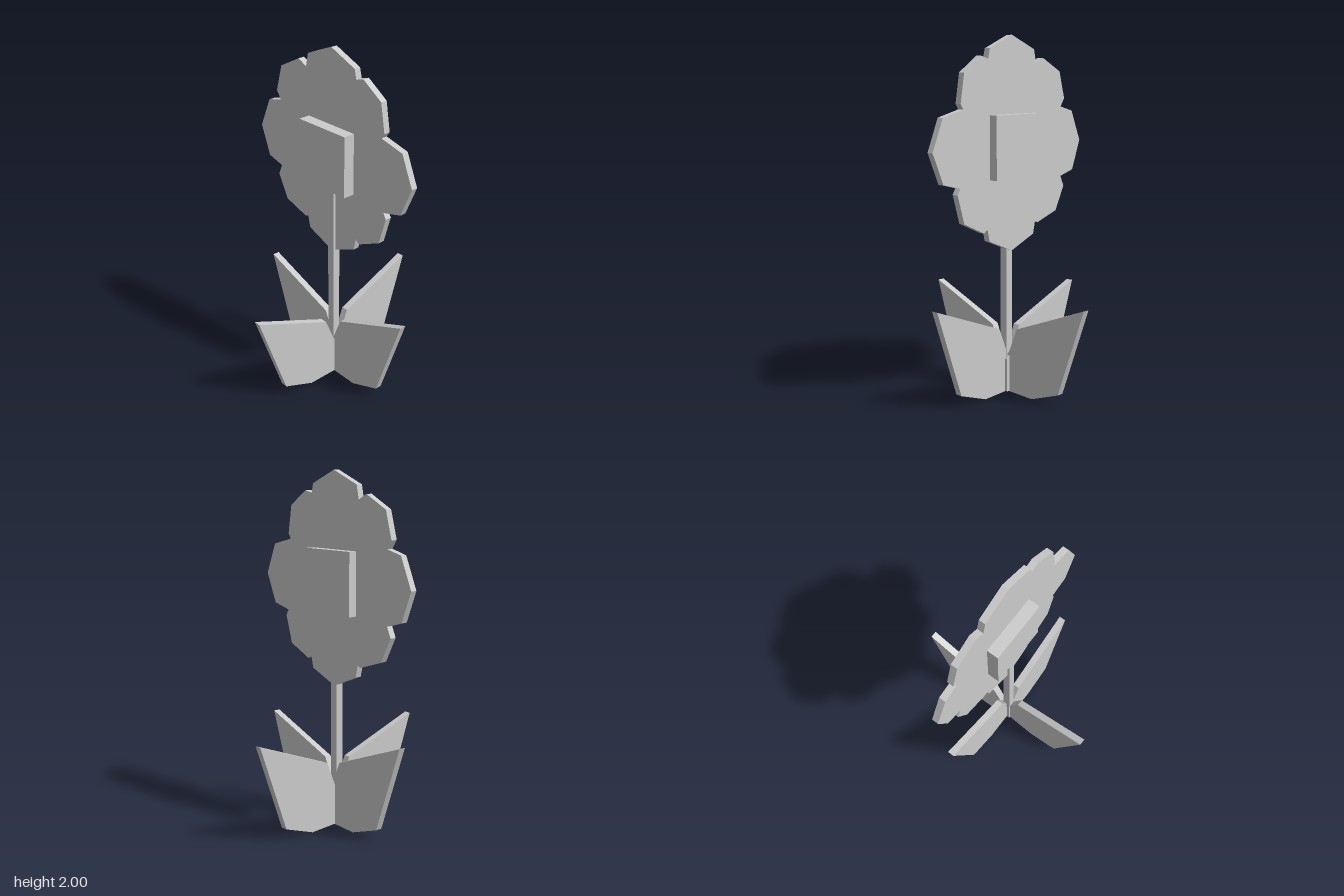
import * as THREE from 'three';

const material = new THREE.MeshStandardMaterial({ color: 0xcccccc, flatShading: true });

function add(group, name, geometry) {
  const mesh = new THREE.Mesh(geometry, material);
  mesh.name = name;
  group.add(mesh);
  return mesh;
}

// Flat plate cut from an outline, centred on its thickness
function plate(points, depth) {
  const shape = new THREE.Shape(points.map(([x, y]) => new THREE.Vector2(x, y)));
  const geometry = new THREE.ExtrudeGeometry(shape, { depth, bevelEnabled: false });
  return geometry.translate(0, 0, -depth / 2);
}

function box(x0, x1, y0, y1, z0, z1) {
  return new THREE.BoxGeometry(x1 - x0, y1 - y0, z1 - z0)
    .translate((x0 + x1) / 2, (y0 + y1) / 2, (z0 + z1) / 2);
}

export function createModel() {
  const model = new THREE.Group();
  model.name = 'flower';

  // Blossom: one plate with eight scalloped petals, facing sideways
  const petals = [
    [0, 2], [0.18, 1.925], [0.197, 1.847], [0.255, 1.878], [0.4, 1.802], [0.443, 1.648],
    [0.412, 1.602], [0.512, 1.575], [0.587, 1.4], [0.522, 1.23], [0.416, 1.2], [0.443, 1.14],
    [0.374, 1.003], [0.215, 0.95], [0.194, 0.96], [0.178, 0.89], [0, 0.817], [-0.178, 0.89],
    [-0.194, 0.96], [-0.22, 0.94], [-0.369, 1.008], [-0.416, 1.167], [-0.397, 1.2],
    [-0.517, 1.23], [-0.59, 1.4], [-0.517, 1.575], [-0.37, 1.612], [-0.39, 1.64],
    [-0.363, 1.802], [-0.236, 1.888], [-0.185, 1.873], [-0.172, 1.927],
  ];
  const blossom = add(model, 'blossom', plate(petals, 0.038));
  blossom.rotation.y = Math.PI / 2;
  blossom.position.x = 0.007;

  // Square centre and stem
  add(model, 'blossomCentre', box(-0.08, 0.075, 1.225, 1.575, -0.178, 0.172));
  add(model, 'stem', box(-0.028, 0.017, 0.01, 1.3, -0.01, 0.034));

  // Four leaves crossing at the foot of the stem: [name, turn, x, z]
  const leaf = [[-0.01, 0.01], [0.2, 0], [0.388, 0.066], [0.56, 0.564], [0.088, 0.38], [0.03, 0.24], [-0.01, 0.2]];
  const leaves = [
    ['leftLeaf', 0.008, 0, 0.007],
    ['rightLeaf', Math.PI - 0.046, 0, 0.021],
    ['frontLeaf', -Math.PI / 2, -0.006, 0],
    ['backLeaf', Math.PI / 2, 0.012, 0.035],
  ];
  for (const [name, turn, x, z] of leaves) {
    const mesh = add(model, name, plate(leaf, 0.04));
    mesh.rotation.y = turn;
    mesh.position.set(x, 0, z);
  }
  return model;
}
